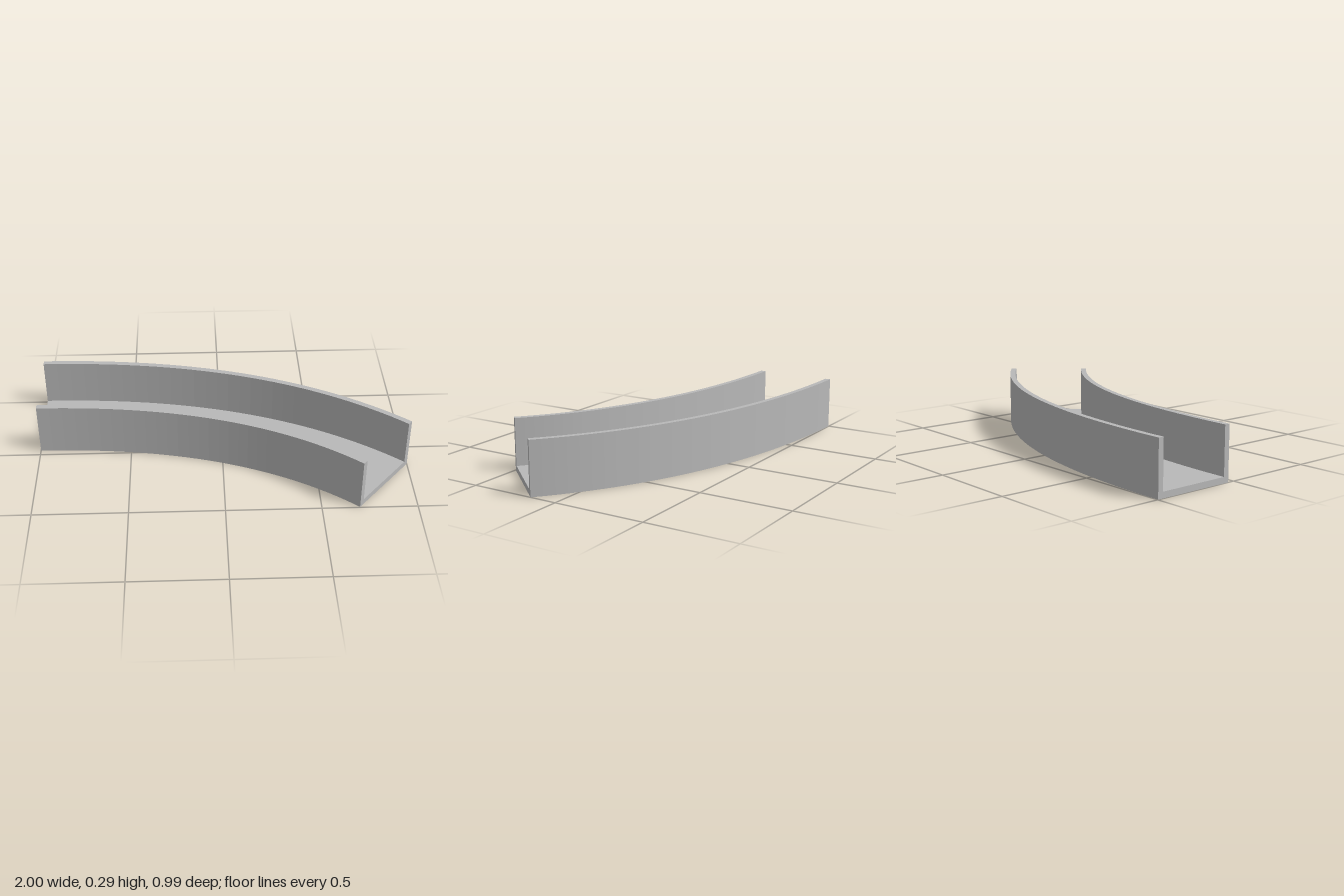
import * as THREE from 'three';

export function createModel() {
  const group = new THREE.Group();
  group.name = 'curvedChannel';
  const grey = new THREE.MeshStandardMaterial({ color: 0xb8b8b8 });
  grey.name = 'plain grey';

  const half = 0.23, wall = 0.03, height = 0.287, floor = 0.032;
  const inner = half - wall;

  // U-shaped cross-section: floor with two upright walls
  const profile = new THREE.Shape([
    [-half, 0], [half, 0], [half, height], [inner, height],
    [inner, floor], [-inner, floor], [-inner, height], [-half, height],
  ].map(([x, y]) => new THREE.Vector2(x, y)));

  // Centre line in plan (x, z): straight at the left end, tightening to the right
  const path = new THREE.QuadraticBezierCurve(
    new THREE.Vector2(-1, -0.267),
    new THREE.Vector2(0.171, -0.267),
    new THREE.Vector2(0.849, 0.323),
  );

  // Extrude straight, then bend every vertex along the centre line
  let geometry = new THREE.ExtrudeGeometry(profile, { depth: 1, steps: 32, bevelEnabled: false });
  const pos = geometry.attributes.position;
  for (let i = 0; i < pos.count; i++) {
    const side = pos.getX(i), t = THREE.MathUtils.clamp(pos.getZ(i), 0, 1);
    const p = path.getPoint(t), d = path.getTangent(t);
    pos.setXYZ(i, p.x + side * d.y, pos.getY(i), p.y - side * d.x);
  }
  if (geometry.index) geometry = geometry.toNonIndexed();
  geometry.computeVertexNormals();

  const channel = new THREE.Mesh(geometry, grey);
  channel.name = 'channel';
  group.add(channel);
  return group;
}
